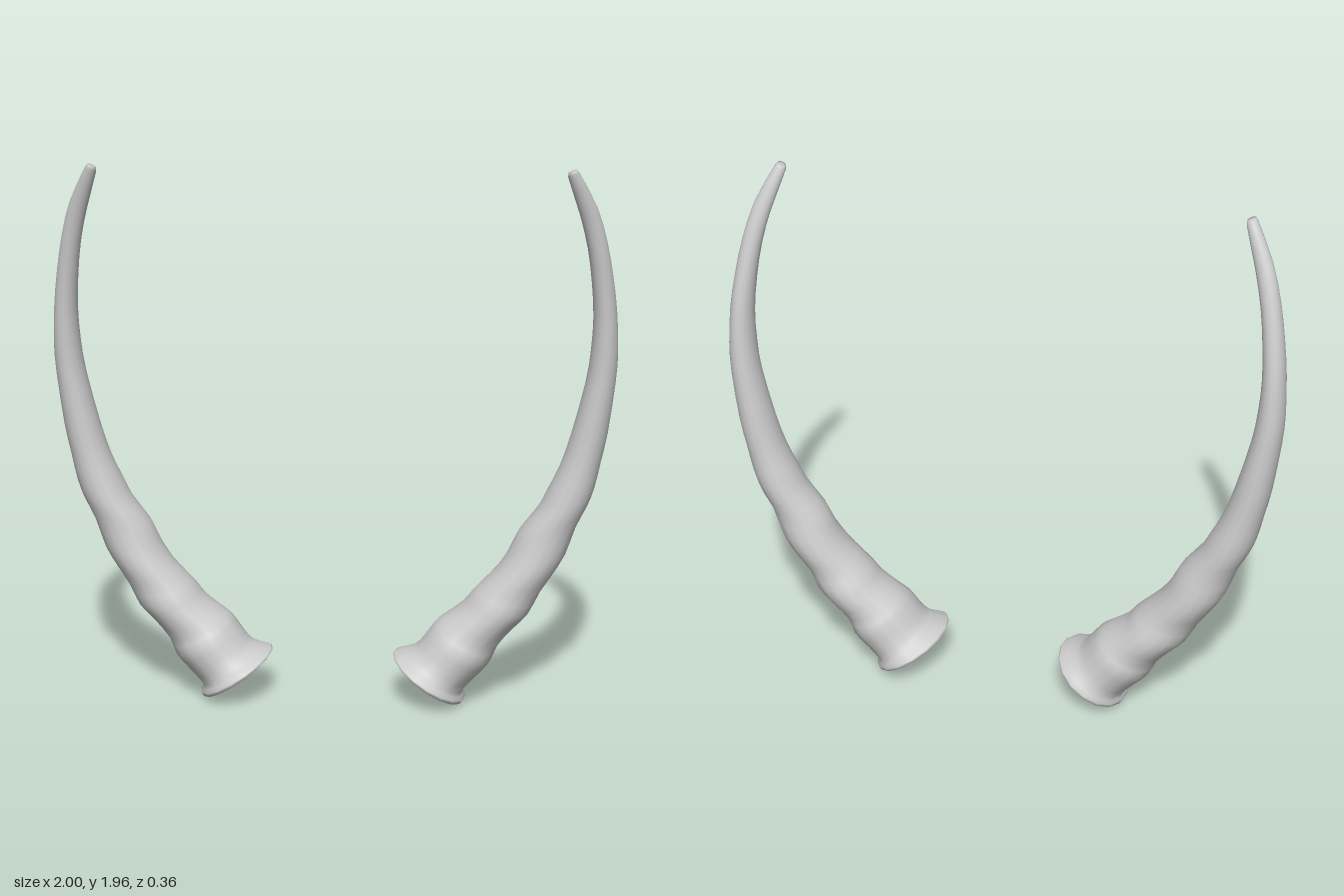
import * as THREE from 'three';

// Horn cross-sections from base to tip: inner edge x, y; outer edge x, y; front z; back z
const SECTIONS = [
  [0.222, 0.172, 0.474, 0.004, 0.172, -0.172],
  [0.226, 0.180, 0.482, 0.020, 0.180, -0.180],
  [0.290, 0.198, 0.475, 0.048, 0.152, -0.160],
  [0.322, 0.230, 0.520, 0.098, 0.140, -0.155],
  [0.358, 0.280, 0.574, 0.158, 0.137, -0.160],
  [0.388, 0.310, 0.598, 0.215, 0.115, -0.145],
  [0.462, 0.362, 0.655, 0.285, 0.110, -0.153],
  [0.495, 0.405, 0.708, 0.340, 0.106, -0.148],
  [0.525, 0.438, 0.745, 0.415, 0.092, -0.136],
  [0.585, 0.500, 0.790, 0.485, 0.087, -0.143],
  [0.630, 0.570, 0.832, 0.555, 0.076, -0.142],
  [0.665, 0.645, 0.868, 0.660, 0.064, -0.130],
  [0.730, 0.730, 0.905, 0.735, 0.060, -0.132],
  [0.765, 0.800, 0.930, 0.805, 0.054, -0.130],
  [0.805, 0.885, 0.950, 0.900, 0.045, -0.122],
  [0.842, 1.000, 0.972, 1.010, 0.040, -0.118],
  [0.888, 1.190, 0.994, 1.195, 0.035, -0.105],
  [0.904, 1.310, 0.999, 1.310, 0.037, -0.092],
  [0.909, 1.430, 0.991, 1.450, 0.041, -0.074],
  [0.900, 1.555, 0.975, 1.570, 0.051, -0.046],
  [0.882, 1.680, 0.950, 1.700, 0.066, -0.012],
  [0.852, 1.800, 0.912, 1.825, 0.087, 0.028],
  [0.808, 1.935, 0.846, 1.952, 0.124, 0.082],
  [0.815, 1.950, 0.836, 1.958, 0.116, 0.098],
];
const SIDES = 16, STEPS = (SECTIONS.length - 1) * 2;

const edge = (pick) => new THREE.CatmullRomCurve3(
  SECTIONS.map((s) => new THREE.Vector3(...pick(s))), false, 'catmullrom', 0.5);
const inner = edge((s) => [s[0], s[1], s[4]]);
const outer = edge((s) => [s[2], s[3], s[5]]);

// One oval ring spanning the inner and outer edges; side = 1 or -1 mirrors it
function ring(step, side) {
  const a = inner.getPoint(step / STEPS), b = outer.getPoint(step / STEPS);
  const points = [];
  for (let j = 0; j < SIDES; j++) {
    const angle = (j / SIDES) * Math.PI * 2;
    const c = Math.cos(angle) / 2, s = Math.sin(angle) / 2;
    points.push(
      side * ((a.x + b.x) / 2 + (b.x - a.x) * c),
      (a.y + b.y) / 2 + (b.y - a.y) * c,
      (a.z + b.z) / 2 + (a.z - b.z) * s);
  }
  return points;
}

function surface(positions, triangles, side) {
  const geometry = new THREE.BufferGeometry();
  geometry.setAttribute('position', new THREE.Float32BufferAttribute(positions, 3));
  geometry.setIndex(triangles.flatMap(([a, b, c]) => (side > 0 ? [a, b, c] : [a, c, b])));
  geometry.computeVertexNormals();
  return geometry;
}

// Ridged, tapering skin
function shaftGeometry(side) {
  const positions = [], triangles = [];
  for (let i = 0; i <= STEPS; i++) {
    positions.push(...ring(i, side));
    if (i === STEPS) break;
    for (let j = 0; j < SIDES; j++) {
      const a = i * SIDES + j, b = i * SIDES + (j + 1) % SIDES;
      triangles.push([a, a + SIDES, b], [b, a + SIDES, b + SIDES]);
    }
  }
  return surface(positions, triangles, side);
}

// Flat fan closing one end
function capGeometry(step, side, facing) {
  const triangles = [];
  for (let j = 1; j < SIDES - 1; j++) triangles.push([0, j, j + 1]);
  return surface(ring(step, side), triangles, side * facing);
}

export function createModel() {
  const model = new THREE.Group();
  model.name = 'hornPair';
  const hornGrey = new THREE.MeshStandardMaterial({ color: 0xcccccc });
  hornGrey.name = 'hornGrey';

  for (const [name, side] of [['leftHorn', 1], ['rightHorn', -1]]) {
    const horn = new THREE.Group();
    horn.name = name;
    const add = (part, geometry) => {
      const mesh = new THREE.Mesh(geometry, hornGrey);
      mesh.name = part;
      horn.add(mesh);
    };
    add('shaft', shaftGeometry(side));
    add('baseCap', capGeometry(0, side, 1));
    add('tipCap', capGeometry(STEPS, side, -1));
    model.add(horn);
  }
  return model;
}
